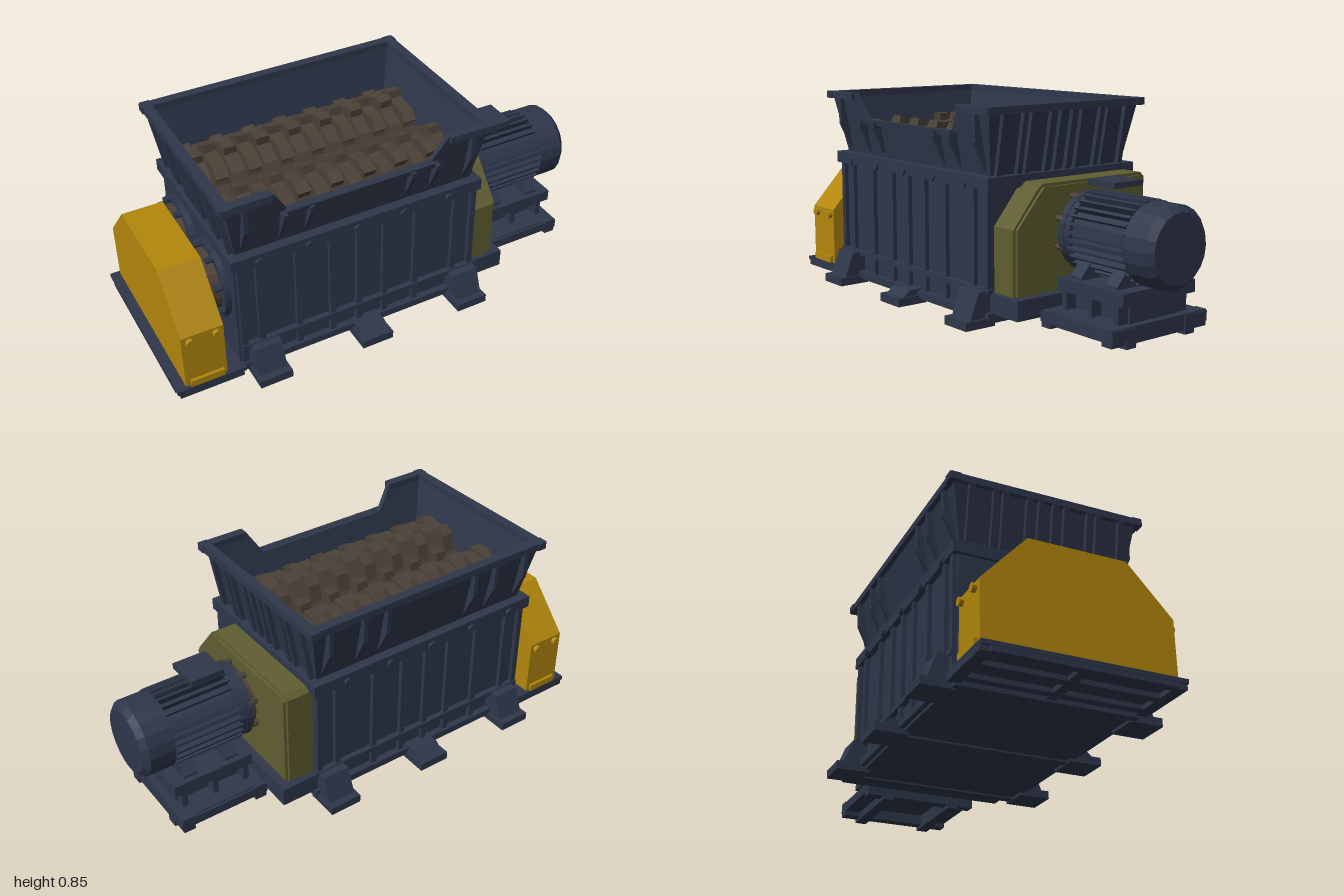
import * as THREE from 'three';

const mat = (name, color) => {
  const m = new THREE.MeshStandardMaterial({ color });
  m.flatShading = true;
  m.name = name;
  return m;
};

export function createModel() {
  const root = new THREE.Group();
  root.name = 'shredder';
  const navy = mat('navy paint', 0x2e374b);
  const yellow = mat('yellow paint', 0xb3870c);
  const olive = mat('olive paint', 0x5f5e31);
  const brown = mat('brown steel', 0x4b4137);

  const add = (name, geo, m, parent = root) => {
    const mesh = new THREE.Mesh(geo, m);
    mesh.name = name;
    parent.add(mesh);
    return mesh;
  };
  const box = (name, m, x0, x1, y0, y1, z0, z1, parent = root) => {
    const b = add(name, new THREE.BoxGeometry(x1 - x0, y1 - y0, z1 - z0), m, parent);
    b.position.set((x0 + x1) / 2, (y0 + y1) / 2, (z0 + z1) / 2);
    return b;
  };
  const extrude = (pts, depth) => new THREE.ExtrudeGeometry(
    new THREE.Shape(pts.map(p => new THREE.Vector2(p[0], p[1]))), { depth, bevelEnabled: false });
  // prism with a (z, y) outline running along x
  const prismX = (name, m, pts, x0, x1, parent = root) =>
    add(name, extrude(pts, x1 - x0).rotateY(-Math.PI / 2).translate(x1, 0, 0), m, parent);
  const cylX = (name, m, r0, r1, x0, x1, y, z, sides = 24) =>
    add(name, new THREE.CylinderGeometry(r1, r0, x1 - x0, sides).rotateZ(-Math.PI / 2)
      .translate((x0 + x1) / 2, y, z), m);
  const cylZ = (name, m, r, x, y, z0, z1) =>
    add(name, new THREE.CylinderGeometry(r, r, z1 - z0, 12).rotateX(Math.PI / 2)
      .translate(x, y, (z0 + z1) / 2), m);

  // Cutting chamber: four walls, top flange, lower skirt and floor
  const cx = -0.18;
  box('endWall', navy, -0.72, -0.69, 0.03, 0.56, -0.36, 0.36);
  box('endWall', navy, 0.33, 0.36, 0.03, 0.56, -0.36, 0.36);
  box('floorPlate', navy, -0.72, 0.37, 0.012, 0.04, -0.37, 0.37);
  for (const x of [-0.735, 0.34]) box('endFlange', navy, x, x + 0.035, 0.53, 0.58, -0.385, 0.385);
  for (const s of [-1, 1]) {
    const side = (name, x0, x1, y0, y1, a, b) =>
      box(name, navy, x0, x1, y0, y1, Math.min(s * a, s * b), Math.max(s * a, s * b));
    side('sideWall', -0.72, 0.36, 0.03, 0.56, 0.335, 0.36);
    side('sideFlange', -0.735, 0.375, 0.53, 0.58, 0.345, 0.385);
    side('skirt', -0.71, 0.37, 0.125, 0.145, 0.36, 0.385);
    side('baseRail', -0.71, 0.38, 0.025, 0.055, 0.34, 0.39);
    for (const x of [-0.71, -0.635, -0.47, -0.32, -0.2, -0.08, 0.065, 0.25, 0.335])
      side('chamberRib', x, x + 0.025, 0.05, 0.53, 0.36, 0.378);
    for (const x of [-0.62, -0.41, -0.2, 0.01, 0.22])
      cylZ('flangeBolt', navy, 0.018, x, 0.545, s > 0 ? 0.38 : -0.395, s > 0 ? 0.395 : -0.38);

    // Feet: sloped at the corners, low in the middle
    for (const x of [-0.62, -0.16, 0.30]) {
      side('footPad', x - 0.07, x + 0.07, 0, 0.035, 0.35, 0.49);
      const h = x === -0.16 ? 0.06 : 0.14;
      prismX('footBlock', navy, [[s * 0.35, 0.035], [s * 0.46, 0.035],
        [s * (h > 0.1 ? 0.42 : 0.43), h], [s * 0.35, h]], x - 0.06, x + 0.06);
    }
  }
  for (const x of [-0.7, -0.18, 0.33]) box('floorBeam', navy, x - 0.02, x + 0.02, 0.004, 0.02, -0.37, 0.37);

  // Hopper: sheared panels with rim, ribs and a notch in the front
  const y0 = 0.58, y1 = 0.85;
  const hopperSide = (name, angle, wBot, wTop, half, halfTop, ribs, notched) => {
    const g = new THREE.Group();
    g.name = name;
    g.position.x = cx;
    g.rotation.y = angle;
    root.add(g);
    const slope = (halfTop - half) / (y1 - y0);
    const panel = (part, pts, depth, off) => {
      const geo = extrude(pts, depth), p = geo.attributes.position;
      for (let i = 0; i < p.count; i++) p.setZ(i, p.getZ(i) + off + half + (p.getY(i) - y0) * slope);
      geo.computeVertexNormals();
      add(part, geo, navy, g);
    };
    const notch = notched ? [[0.38, y1], [0.31, 0.74], [-0.31, 0.74], [-0.38, y1]] : [];
    panel('hopperPanel', [[-wBot, y0], [wBot, y0], [wTop, y1], ...notch, [-wTop, y1]], 0.02, -0.02);
    const rim = (a, b) => box('hopperRim', navy, a, b, 0.82, y1, halfTop - 0.025, halfTop + 0.015, g);
    if (notched) {
      rim(-wTop - 0.02, -0.38);
      rim(0.38, wTop + 0.02);
      panel('notchLip', [[-0.32, 0.72], [0.32, 0.72], [0.32, 0.742], [-0.32, 0.742]], 0.02, 0);
    } else rim(-wTop - 0.02, wTop + 0.02);
    for (const [x, top, deep] of ribs) {
      if (deep) prismX('hopperGusset', navy, [[half - 0.005, y0], [halfTop + 0.008, 0.71],
        [halfTop + 0.012, top], [half + (top - y0) * slope - 0.005, top]], x - 0.01, x + 0.01, g);
      else panel('hopperRib', [[x - 0.012, y0], [x + 0.012, y0], [x + 0.012, 0.82], [x - 0.012, 0.82]], 0.02, 0);
    }
  };
  const longRibs = top => [[-0.49, 0.82, 1], [-0.33, top, 1], [-0.22, top, 1], [0.22, top, 1], [0.33, top, 1], [0.49, 0.82, 1]];
  hopperSide('hopperFront', 0, 0.52, 0.57, 0.345, 0.395, longRibs(0.735), true);
  hopperSide('hopperBack', Math.PI, 0.52, 0.57, 0.345, 0.395, longRibs(0.82), false);
  const endRibs = [-0.32, -0.22, -0.18, -0.08, -0.03, 0.03, 0.08, 0.18, 0.22, 0.32].map(x => [x, 0.82, 0]);
  hopperSide('hopperRight', Math.PI / 2, 0.345, 0.395, 0.52, 0.57, endRibs, false);
  hopperSide('hopperLeft', -Math.PI / 2, 0.345, 0.395, 0.52, 0.57, endRibs, false);

  // Two rotors with hooked cutter discs, and combs between the discs
  const teeth = 6, tooth = [];
  for (let i = 0; i < teeth; i++) {
    const a = i / teeth * Math.PI * 2;
    for (const [r, d] of [[0.158, 0], [0.15, 0.35], [0.122, 0.85], [0.126, 0.98]])
      tooth.push([r * Math.cos(a + d), r * Math.sin(a + d)]);
  }
  const pitch = 0.072, axisY = 0.58;
  for (const s of [-1, 1]) {
    const z = s * 0.162;
    const between = (name, x0, x1, ya, yb, a, b) =>
      box(name, navy, x0, x1, ya, yb, Math.min(s * a, s * b), Math.max(s * a, s * b));
    cylX('rotorShaft', brown, 0.09, 0.09, -0.69, 0.33, axisY, z, 16);
    for (let i = 0; i < 14; i++) {
      const x = -0.68 + i * pitch;
      const disc = prismX('cutterDisc', brown, tooth, 0, 0.054);
      disc.position.set(x, axisY, z);
      disc.rotation.x = s * (0.2 + (i % 2) * 0.3);
      between('combFinger', x + 0.056, x + 0.07, 0.5, 0.62, 0.2, 0.34);
    }
    between('combShelf', -0.69, 0.33, 0.5, 0.6, 0.32, 0.345);

    // Bearings at the gear end
    cylX('bearing', brown, 0.13, 0.13, -0.79, -0.72, 0.35, z);
    cylX('bearingFlange', navy, 0.165, 0.165, -0.745, -0.72, 0.35, z);
    for (let i = 0; i < 8; i++) {
      const a = (i + 0.5) / 8 * Math.PI * 2;
      cylX('bearingBolt', navy, 0.014, 0.014, -0.775, -0.74, 0.35 + 0.15 * Math.sin(a), z + 0.15 * Math.cos(a), 6);
    }
  }
  box('centreBar', navy, -0.69, 0.33, 0.5, 0.6, -0.008, 0.012);

  // Yellow gear cover on its base plate
  prismX('gearCover', yellow, [[-0.385, 0.05], [0.385, 0.05], [0.385, 0.3], [0.2, 0.5], [-0.2, 0.5], [-0.385, 0.3]], -0.96, -0.785);
  for (const s of [-1, 1]) {
    for (const x of [-0.925, -0.815])
      cylZ('coverBolt', yellow, 0.017, x, 0.275, s > 0 ? 0.38 : -0.402, s > 0 ? 0.402 : -0.38);
    box('coverFoot', yellow, -0.94, -0.8, 0.05, 0.08, s * 0.39 - 0.008, s * 0.39 + 0.008);
    box('plateRail', navy, -0.99, -0.72, 0.012, 0.035, s * 0.375 - 0.025, s * 0.375 + 0.025);
  }
  box('gearBasePlate', navy, -1, -0.71, 0.032, 0.05, -0.4, 0.4);
  for (const x of [-0.98, -0.87, -0.76]) box('plateRib', navy, x - 0.018, x + 0.018, 0.012, 0.034, -0.36, 0.36);
  box('plateRib', navy, -0.99, -0.72, 0.012, 0.034, -0.02, 0.02);

  // Olive drive cover, one sloped shoulder to the front
  const cover = k => [[-0.345 + k, 0.13], [0.345 - k, 0.13], [0.345 - k, 0.39], [0.225 - k / 2, 0.535 - k],
    [0.2, 0.553 - k], [-0.325 + k, 0.553 - k], [-0.345 + k, 0.535 - k]];
  prismX('driveCover', olive, cover(0), 0.36, 0.475);
  prismX('driveCoverFace', olive, cover(0.012), 0.475, 0.487);
  cylX('driveFlange', brown, 0.13, 0.13, 0.485, 0.55, 0.36, 0);
  cylX('motorFlange', navy, 0.158, 0.158, 0.515, 0.545, 0.36, 0);
  for (let i = 0; i < 8; i++) {
    const a = (i + 0.5) / 8 * Math.PI * 2;
    cylX('flangeBolt', brown, 0.014, 0.014, 0.485, 0.53, 0.36 + 0.146 * Math.sin(a), 0.146 * Math.cos(a), 6);
  }

  // Motor with cooling fins, fan cowl and terminal lid
  cylX('motorBody', navy, 0.138, 0.138, 0.545, 0.88, 0.36, 0);
  for (let i = 0; i < 30; i++) {
    const fin = add('coolingFin', new THREE.BoxGeometry(0.3, 0.03, 0.01).translate(0.715, 0.15, 0), navy);
    fin.position.y = 0.36;
    fin.rotation.x = i / 30 * Math.PI * 2;
  }
  cylX('motorEndRing', navy, 0.155, 0.155, 0.545, 0.575, 0.36, 0, 20);
  cylX('fanCowl', navy, 0.16, 0.16, 0.865, 0.975, 0.36, 0, 20);
  cylX('fanCowlEnd', navy, 0.16, 0.135, 0.975, 1, 0.36, 0, 20);
  box('terminalLid', navy, 0.59, 0.735, 0.552, 0.575, -0.075, 0.075);

  // Motor pedestal and base frame
  for (const x of [0.6, 0.79])
    prismX('motorFoot', navy, [[-0.165, 0.2], [0.165, 0.2], [0.165, 0.215], [0.11, 0.28], [-0.11, 0.28], [-0.165, 0.215]], x, x + 0.06);
  box('motorPlate', navy, 0.555, 0.905, 0.155, 0.205, -0.19, 0.19);
  box('pedestal', navy, 0.58, 0.88, 0.075, 0.155, -0.13, 0.13);
  box('baseCrossbar', navy, 0.53, 0.58, 0.015, 0.08, -0.25, 0.25);
  box('baseCrossbar', navy, 0.86, 0.91, 0.015, 0.08, -0.25, 0.25);
  box('baseWeb', navy, 0.55, 0.89, 0.06, 0.08, -0.24, 0.24);
  for (const s of [-1, 1]) {
    box('baseRail', navy, 0.525, 0.915, 0.035, 0.075, s * 0.19 - 0.06, s * 0.19 + 0.06);
    box('baseFoot', navy, 0.525, 0.915, 0, 0.036, s * 0.155 - 0.025, s * 0.155 + 0.025);
    for (const x of [0.58, 0.72, 0.86])
      prismX('pedestalGusset', navy, [[s * 0.12, 0.075], [s * 0.18, 0.075], [s * 0.18, 0.155], [s * 0.12, 0.155]], x - 0.012, x + 0.012);
  }
  // Bridge joining the chamber and the motor base
  box('bridge', navy, 0.36, 0.525, 0.05, 0.13, -0.375, 0.365);
  return root;
}
